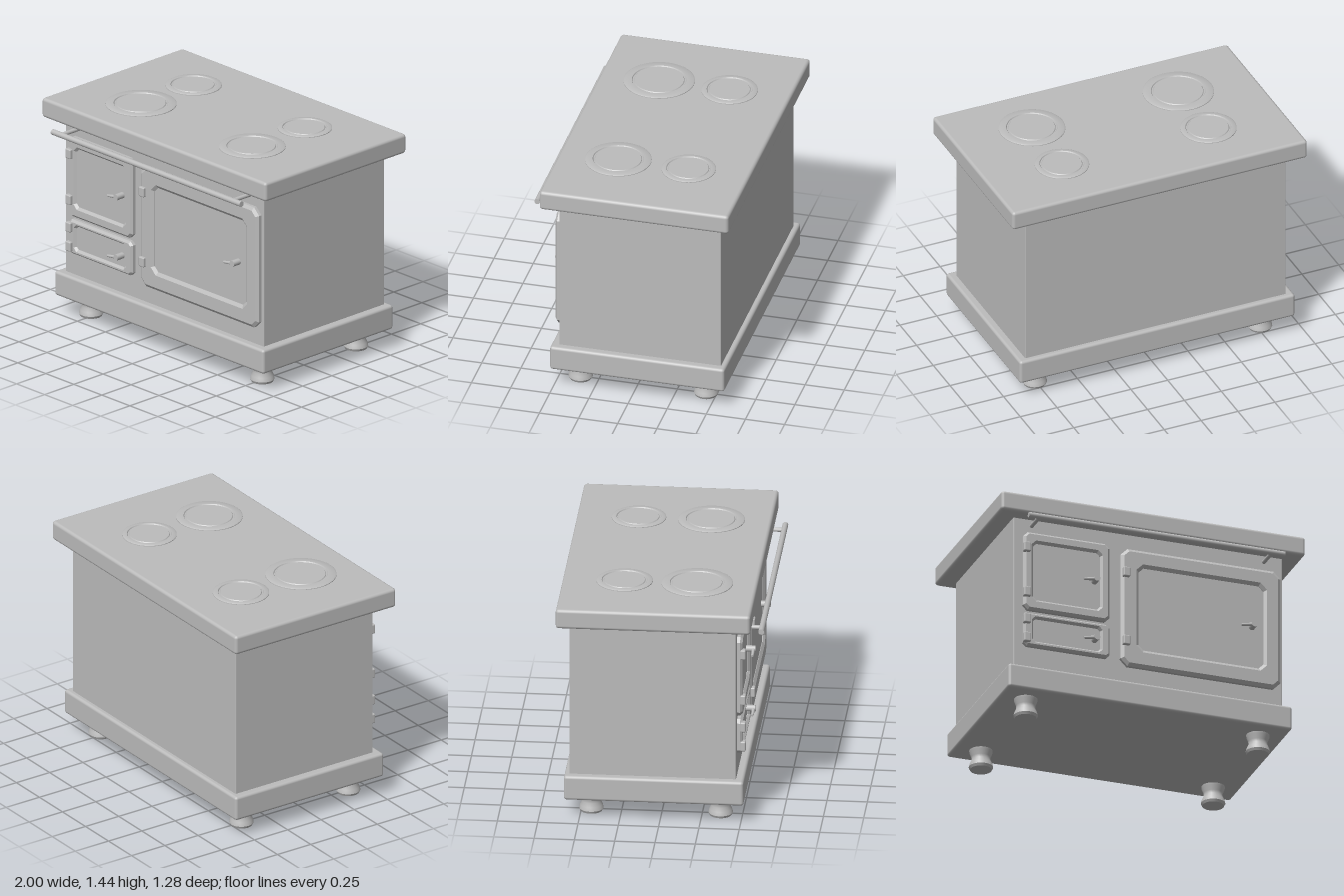
import * as THREE from 'three';
import { RoundedBoxGeometry } from 'three/addons/geometries/RoundedBoxGeometry.js';
import { toCreasedNormals } from 'three/addons/utils/BufferGeometryUtils.js';

const enamel = new THREE.MeshStandardMaterial({ color: 0xbcbcbc });
enamel.name = 'grey enamel';

function add(parent, name, geometry, x = 0, y = 0, z = 0) {
  const mesh = new THREE.Mesh(geometry, enamel);
  mesh.name = name;
  mesh.position.set(x, y, z);
  parent.add(mesh);
  return mesh;
}

// Rounded block given by its limits on each axis
function block(parent, name, [x0, x1], [y0, y1], [z0, z1], radius) {
  const geo = new RoundedBoxGeometry(x1 - x0, y1 - y0, z1 - z0, 2, radius);
  return add(parent, name, geo, (x0 + x1) / 2, (y0 + y1) / 2, (z0 + z1) / 2);
}

// Rectangle with clipped corners
function clippedRect([x0, x1], [y0, y1], c, Type = THREE.Shape) {
  return new Type([
    [x0 + c, y0], [x1 - c, y0], [x1, y0 + c], [x1, y1 - c],
    [x1 - c, y1], [x0 + c, y1], [x0, y1 - c], [x0, y0 + c],
  ].map(([x, y]) => new THREE.Vector2(x, y)));
}

function lathe(points, segments = 40) {
  const profile = points.map(([r, y]) => new THREE.Vector2(r, y));
  return toCreasedNormals(new THREE.LatheGeometry(profile, segments), 0.6);
}

// Door: bevelled frame, sunken panel, hinges and a lever latch
function addDoor(parent, name, d) {
  const door = new THREE.Group();
  door.name = name;
  parent.add(door);

  const frame = clippedRect(d.x, d.y, d.clip);
  frame.holes.push(clippedRect(d.panelX, d.panelY, d.clip * 0.7, THREE.Path));
  const bevel = 0.015;
  add(door, 'doorFrame', new THREE.ExtrudeGeometry(frame, {
    depth: 0.025, bevelThickness: bevel, bevelSize: d.bevel, bevelOffset: -d.bevel, bevelSegments: 1,
  }), 0, 0, 0.465);

  const panel = clippedRect(d.panelX.map((v, i) => v + (i ? 0.005 : -0.005)),
    d.panelY.map((v, i) => v + (i ? 0.005 : -0.005)), d.clip * 0.7);
  add(door, 'doorPanel', new THREE.ExtrudeGeometry(panel, { depth: 0.022, bevelEnabled: false }), 0, 0, 0.465);

  for (const y of d.hinges) {
    block(door, 'hinge', [d.hingeX - 0.023, d.hingeX + 0.023], [y - 0.032, y + 0.032], [0.49, 0.525], 0.008);
  }

  // Latch: stem out of the panel with a slightly drooping lever
  const [lx, ly] = d.latch;
  const stem = new THREE.CylinderGeometry(0.02, 0.02, 0.065, 16).rotateX(Math.PI / 2);
  add(door, 'latchStem', stem, lx, ly, 0.513);
  const lever = new THREE.CylinderGeometry(0.012, 0.008, 0.085, 12).rotateZ(-Math.PI / 2 + 0.16);
  add(door, 'latchLever', lever, lx - 0.042, ly - 0.007, 0.532);
}

export function createModel() {
  const stove = new THREE.Group();
  stove.name = 'stove';

  // Main masses
  block(stove, 'cooktop', [-1, 1], [1.305, 1.432], [-0.64, 0.568], 0.02);
  block(stove, 'body', [-0.887, 0.882], [0.27, 1.32], [-0.563, 0.47], 0.006);
  block(stove, 'plinth', [-0.936, 0.93], [0.128, 0.288], [-0.595, 0.52], 0.018);

  // Waisted feet
  const footGeo = lathe([
    [0, 0], [0.068, 0], [0.076, 0.016], [0.07, 0.04], [0.059, 0.065], [0.06, 0.085], [0.072, 0.115], [0.074, 0.14],
  ], 24);
  for (const x of [-0.768, 0.76]) {
    for (const z of [0.365, -0.437]) add(stove, 'foot', footGeo, x, 0, z);
  }

  // Hotplates: outer rim, groove and inner disc
  for (const [x, z, r, inner] of [
    [-0.5, 0.195, 0.221, 0.165], [-0.5, -0.255, 0.175, 0.138],
    [0.493, 0.195, 0.207, 0.155], [0.493, -0.255, 0.169, 0.135],
  ]) {
    add(stove, 'hotplate', lathe([
      [r, 0], [r, 0.006], [r - 0.008, 0.011], [inner + 0.004, 0.011], [inner, 0.005],
      [inner - 0.008, 0.005], [inner - 0.012, 0.01], [0, 0.01],
    ], 48), x, 1.43, z);
  }

  // Doors
  addDoor(stove, 'fireboxDoor', {
    x: [-0.83, -0.262], y: [0.682, 1.21], panelX: [-0.765, -0.325], panelY: [0.755, 1.14],
    clip: 0.03, bevel: 0.015, hingeX: -0.812, hinges: [1.1, 0.795], latch: [-0.362, 0.945],
  });
  addDoor(stove, 'ashDoor', {
    x: [-0.83, -0.262], y: [0.435, 0.66], panelX: [-0.765, -0.325], panelY: [0.472, 0.625],
    clip: 0.022, bevel: 0.013, hingeX: -0.812, hinges: [0.613, 0.485], latch: [-0.362, 0.545],
  });
  addDoor(stove, 'ovenDoor', {
    x: [-0.19, 0.862], y: [0.403, 1.2], panelX: [-0.07, 0.75], panelY: [0.525, 1.085],
    clip: 0.045, bevel: 0.02, hingeX: -0.158, hinges: [1.033, 0.568], latch: [0.675, 0.8],
  });

  // Towel rail on two brackets
  add(stove, 'towelRail', new THREE.CylinderGeometry(0.018, 0.018, 1.685, 20).rotateZ(Math.PI / 2), 0, 1.265, 0.622);
  const bracketGeo = new THREE.CylinderGeometry(0.013, 0.013, 0.16, 16).rotateX(Math.PI / 2);
  for (const x of [-0.768, 0.76]) add(stove, 'railBracket', bracketGeo, x, 1.265, 0.54);

  return stove;
}
